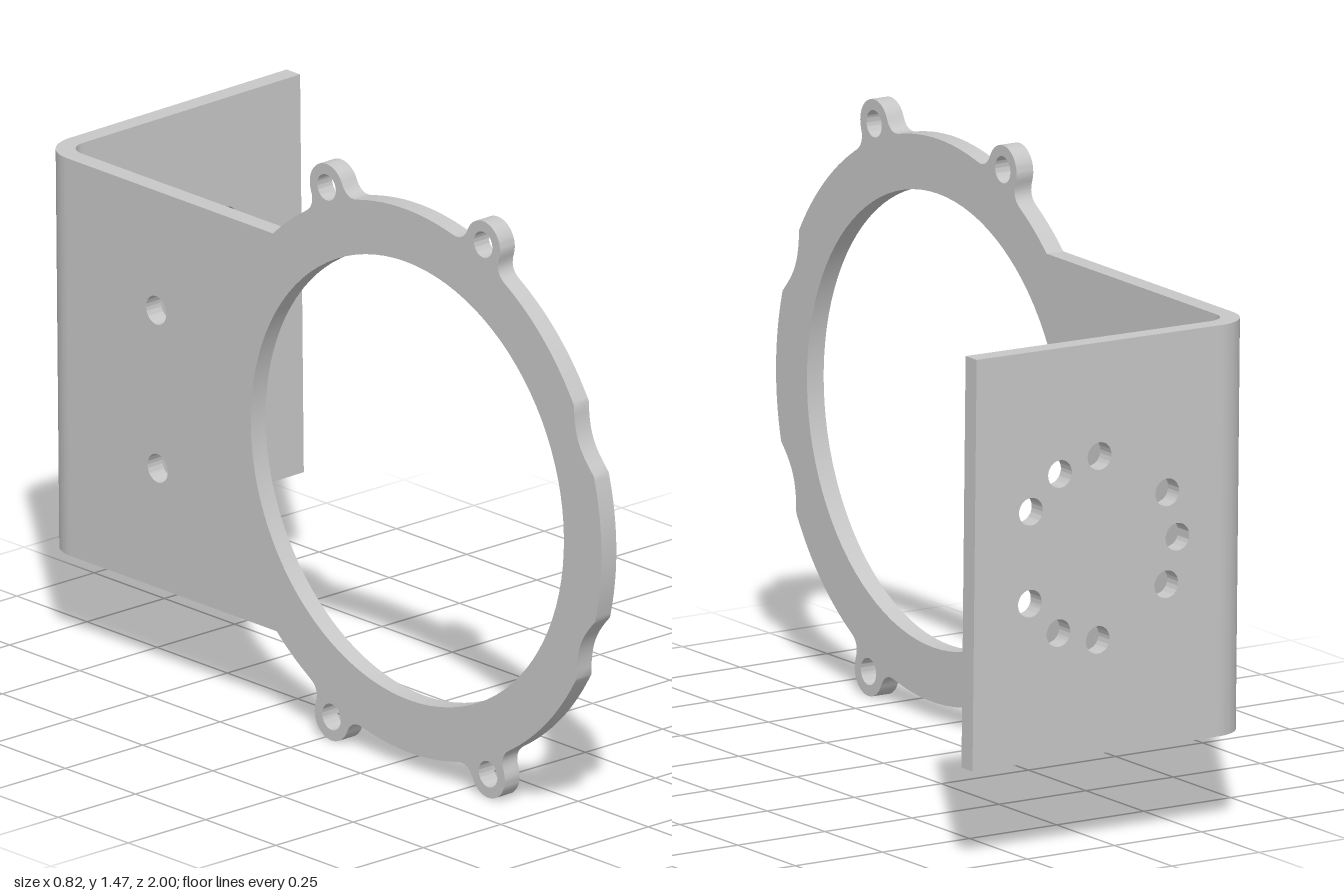
import * as THREE from 'three';
import { toCreasedNormals } from 'three/addons/utils/BufferGeometryUtils.js';

const T = 0.048;                    // sheet thickness
const H = 0.506;                    // half height of the flanges
const R = 0.692, BORE = 0.558;      // ring radii
const RING_Z = 0.308;               // ring centre along z
const BEND_Z = -0.9, BEND_R = 0.1;  // bend centre and outer radius
const SIDE_X = -0.401;              // outer face of the side plate
const END_X = 0.401;                // free end of the back flange
const rad = THREE.MathUtils.degToRad;
const polar = (r, deg, cx = 0, cy = 0) =>
  new THREE.Vector2(cx + r * Math.cos(rad(deg)), cy + r * Math.sin(rad(deg)));

function arc(r, from, to, steps, cx = 0, cy = 0) {
  return Array.from({ length: steps + 1 }, (_, i) => polar(r, from + (to - from) * i / steps, cx, cy));
}

function addHole(shape, x, y, r) {
  const hole = new THREE.Path();
  hole.absarc(x, y, r, 0, Math.PI * 2, true);
  shape.holes.push(hole);
}

function extrude(shape, depth) {
  const g = new THREE.ExtrudeGeometry(shape, { depth, bevelEnabled: false, curveSegments: 48 });
  return toCreasedNormals(g, 0.5);
}

// Screw ear with fillets blending into the ring, traced clockwise
const EAR_R = 0.729;
function ear(deg) {
  const c = polar(EAR_R, deg);
  const tip = arc(0.06, deg + 87, deg - 87, 20, c.x, c.y);
  const into = new THREE.QuadraticBezierCurve(polar(R, deg + 8.5), polar(R, deg + 5), tip[0]);
  const out = new THREE.QuadraticBezierCurve(tip[tip.length - 1], polar(R, deg - 5), polar(R, deg - 8.5));
  return [...into.getPoints(6), ...tip.slice(1, -1), ...out.getPoints(6)];
}

// Ring and flat plate outline: upper half, then its mirror
function sidePlateShape() {
  const join = 180 - THREE.MathUtils.radToDeg(Math.asin(H / R));
  const notch = new THREE.CubicBezierCurve(polar(R, 30.2), new THREE.Vector2(0.6, 0.265),
    new THREE.Vector2(0.617, 0.238), polar(R, 15.5));
  const upper = [
    new THREE.Vector2(BEND_Z - RING_Z, H),
    ...arc(R, join, 121.5, 6),
    ...ear(112.5),
    ...arc(R, 103, 77, 12),
    ...ear(67.5),
    ...arc(R, 58, 31, 12),
    ...notch.getPoints(10),
    ...arc(R, 14.5, 0, 6),
  ];
  const lower = upper.slice(0, -1).map(p => new THREE.Vector2(p.x, -p.y));
  // Counter-clockwise, so that the hole walls face inwards
  const shape = new THREE.Shape([...lower, ...upper.reverse()]);
  addHole(shape, 0, 0, BORE);
  for (const s of [1, -1]) {
    for (const deg of [67.5, 112.5]) {
      const c = polar(EAR_R, s * deg);
      addHole(shape, c.x, c.y, 0.033);
    }
    addHole(shape, -0.584 - RING_Z, s * 0.201, 0.036);
  }
  return shape;
}

export function createModel() {
  const grey = new THREE.MeshStandardMaterial({ color: 0xc7c7c7 });
  grey.name = 'sheet metal grey';
  const group = new THREE.Group();
  group.name = 'leaningBracket';
  const add = (name, geometry) => {
    const mesh = new THREE.Mesh(geometry, grey);
    mesh.name = name;
    group.add(mesh);
    return mesh;
  };

  // Side plate with the large ring
  const side = extrude(sidePlateShape(), T);
  side.rotateY(-Math.PI / 2);
  add('ringPlate', side).position.set(SIDE_X + T, 0, RING_Z);

  // Rounded bend joining both plates
  const bend = new THREE.Shape();
  bend.absarc(0, 0, BEND_R, Math.PI, Math.PI / 2, true);
  bend.absarc(0, 0, BEND_R - T, Math.PI / 2, Math.PI, false);
  const bendGeometry = extrude(bend, 2 * H);
  bendGeometry.rotateX(-Math.PI / 2);
  add('bend', bendGeometry).position.set(SIDE_X + BEND_R, -H, BEND_Z);

  // Back flange with its circle of holes
  const x0 = SIDE_X + BEND_R;
  const flange = new THREE.Shape();
  flange.moveTo(x0, -H).lineTo(END_X, -H).lineTo(END_X, H).lineTo(x0, H).closePath();
  for (const deg of [30, 60, 90, 150, 180, 210, 270, 300, 330]) {
    const c = polar(0.226, deg, 0.045, 0);
    addHole(flange, c.x, c.y, 0.034);
  }
  add('backFlange', extrude(flange, T)).position.z = BEND_Z - BEND_R;

  // Slight sideways lean of the whole bracket
  group.position.y = 0.738;
  group.rotation.z = 0.0118;
  const root = new THREE.Group();
  root.name = 'bracket';
  root.add(group);
  return root;
}
